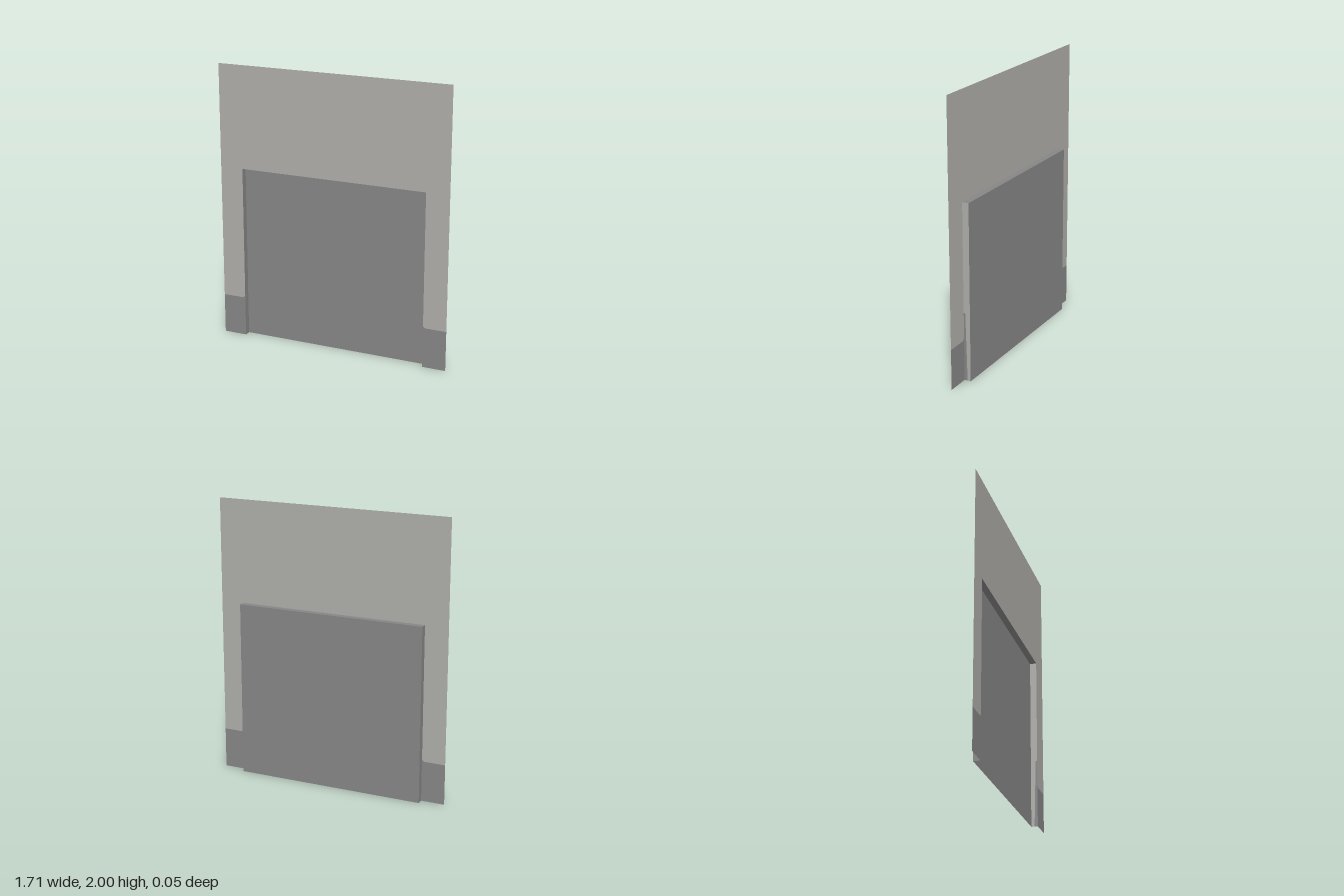
import * as THREE from 'three';

const W = 0.855, H = 2, OX = 0.686, OH = 1.26, Z = 0.0235, SKIRT = 0.29;

export function createModel() {
  const group = new THREE.Group();
  const wallPaint = new THREE.MeshStandardMaterial({ name: 'lightGrey', color: 0xaeada9, side: THREE.DoubleSide });
  const doorPaint = new THREE.MeshStandardMaterial({ name: 'darkGrey', color: 0x868686, side: THREE.DoubleSide });

  // Flat sheet from an outline of [x, y] points
  const sheet = (name, points, material) => {
    const shape = new THREE.Shape(points.map(([x, y]) => new THREE.Vector2(x, y)));
    const mesh = new THREE.Mesh(new THREE.ShapeGeometry(shape), material);
    mesh.name = name;
    group.add(mesh);
    return mesh;
  };

  // Wall around the opening, its lower edge following the skirting
  const edge = (s) => [[s * W, SKIRT], [s * (OX + 0.015), SKIRT], [s * OX, SKIRT + 0.015]];
  sheet('wall', [
    [-W, H], ...edge(-1), [-OX, OH], [OX, OH], ...edge(1).reverse(), [W, H],
  ], wallPaint).position.z = Z;

  // Skirting on both sides of the opening
  for (const s of [-1, 1]) {
    sheet(s > 0 ? 'leftSkirting' : 'rightSkirting',
      [[s * W, 0], ...edge(s), [s * OX, 0]], doorPaint).position.z = Z;
  }

  // Recessed door panel
  sheet('doorPanel', [[-OX, 0], [OX, 0], [OX, OH], [-OX, OH]], doorPaint).position.z = -Z;

  // Lintel: underside of the opening's top edge
  const lintel = sheet('lintel', [[-OX, -Z], [OX, -Z], [OX, Z], [-OX, Z]], doorPaint);
  lintel.rotation.x = Math.PI / 2;
  lintel.position.y = OH;

  // Reveals: outlines in [z, y], turned to stand across the wall
  const reveal = (name, x, points, material) => {
    const mesh = sheet(name, points.map(([z, y]) => [-z, y]), material);
    mesh.rotation.y = Math.PI / 2;
    mesh.position.x = x;
  };
  reveal('rightReveal', -OX, [[-Z, 0], [Z, 0], [Z, OH], [-Z, OH]], doorPaint);
  reveal('leftReveal', OX, [[-Z, 0], [0, 0], [0.012, 0.49], [Z, 0.49], [Z, OH], [-Z, OH]], wallPaint);
  reveal('leftRevealBase', OX, [[0, 0], [Z, 0], [Z, 0.49], [0.012, 0.49]], doorPaint);

  return group;
}
